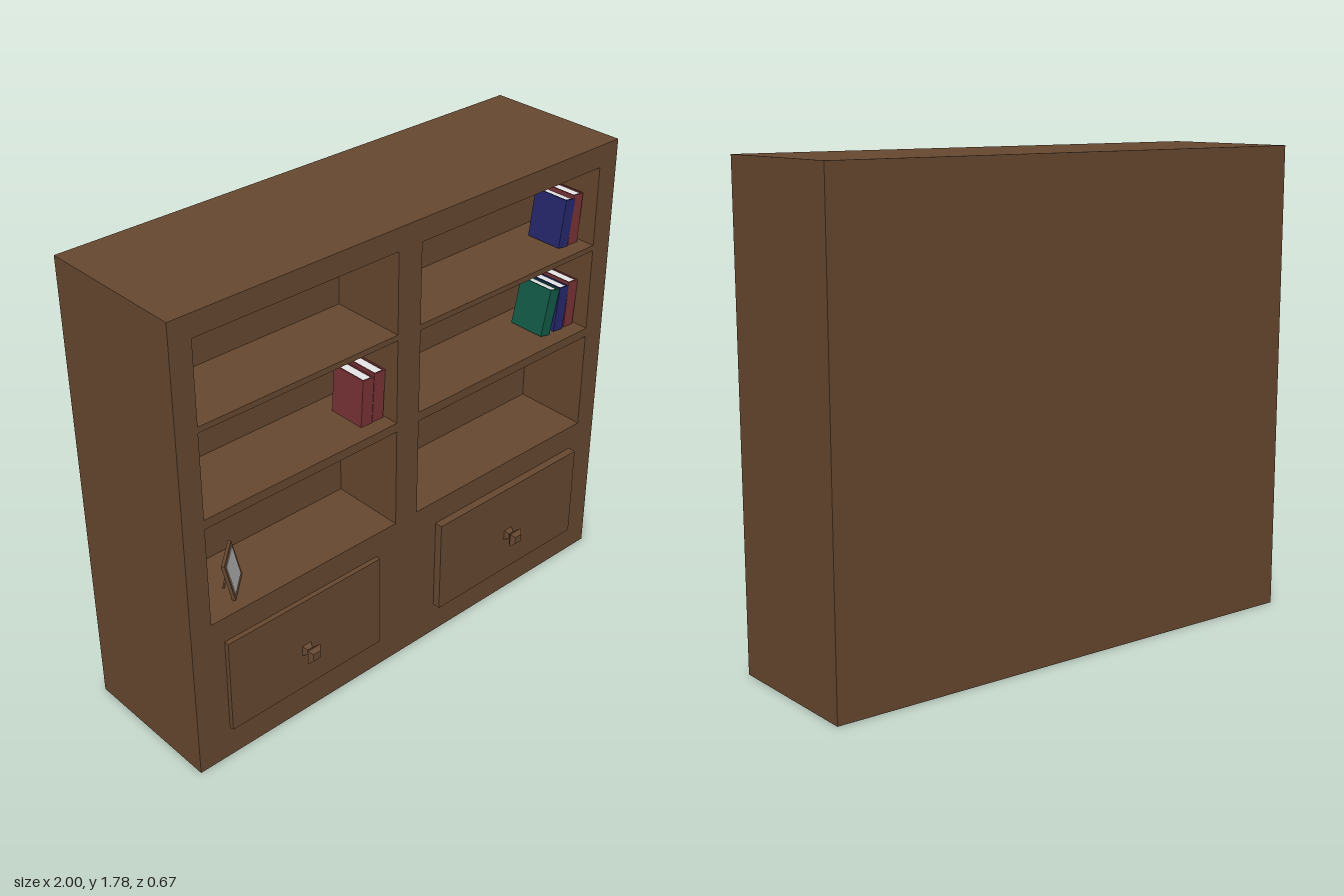
import * as THREE from 'three';

const material = (name, color) => {
  const m = new THREE.MeshStandardMaterial({ color });
  m.name = name;
  return m;
};

export function createModel() {
  const root = new THREE.Group();
  root.name = 'bookcase';
  const wood = material('wood', 0x65472f);
  const red = material('red cover', 0x783236);
  const blue = material('blue cover', 0x25266a);
  const green = material('green cover', 0x115845);
  const paper = material('paper', 0xf0f0f0);
  const photoGrey = material('photo', 0xb8b8b8);

  function add(parent, name, geometry, mat, x = 0, y = 0, z = 0) {
    const mesh = new THREE.Mesh(geometry, mat);
    mesh.name = name;
    mesh.position.set(x, y, z);
    parent.add(mesh);
    return mesh;
  }
  const box = (parent, name, w, h, d, mat, x, y, z) =>
    add(parent, name, new THREE.BoxGeometry(w, h, d), mat, x, y, z);

  // Case: solid rear block plus a front slab pierced by six shelf openings
  const H = 1.785, FRONT = 0.245, RECESS = -0.05, BACK = -0.335;
  box(root, 'rearCase', 2, H, RECESS - BACK, wood, 0, H / 2, (RECESS + BACK) / 2);
  const face = new THREE.Shape([[-1, 0], [1, 0], [1, H], [-1, H]].map(p => new THREE.Vector2(...p)));
  for (const [x0, x1] of [[-0.915, -0.08], [0.025, 0.91]]) {
    for (const [y0, y1] of [[0.615, 1.007], [1.043, 1.37], [1.392, 1.70]]) {
      face.holes.push(new THREE.Path([[x0, y0], [x0, y1], [x1, y1], [x1, y0]].map(p => new THREE.Vector2(...p))));
    }
  }
  add(root, 'shelfCase', new THREE.ExtrudeGeometry(face, { depth: FRONT - RECESS, bevelEnabled: false }),
    wood, 0, 0, RECESS);

  // Four-sided knob profile with a narrow neck, revolved and faceted
  const profile = [[0.029, 0], [0.016, 0.018], [0.042, 0.04], [0.022, 0.055], [0, 0.055]]
    .map(p => new THREE.Vector2(...p));
  const knobGeometry = new THREE.LatheGeometry(profile, 4)
    .rotateY(Math.PI / 4).rotateX(Math.PI / 2).toNonIndexed();
  knobGeometry.computeVertexNormals();

  // Drawers with knobs
  function drawer(name, x0, x1, front, knobX) {
    const g = new THREE.Group();
    g.name = name;
    box(g, 'drawerFront', x1 - x0, 0.385, front - FRONT + 0.02, wood,
      (x0 + x1) / 2, 0.3225, (front + FRONT - 0.02) / 2);
    add(g, 'knob', knobGeometry, wood, knobX, 0.3, front);
    root.add(g);
  }
  drawer('leftmostDrawer', -0.865, -0.173, 0.264, -0.525);
  drawer('rightmostDrawer', 0.125, 0.867, 0.276, 0.495);

  // Book: two boards, a spine and a page block, leaning about its lower right edge
  function book(x, y, height, lean, cover) {
    const w = 0.05, d = 0.15, t = 0.006;
    const g = new THREE.Group();
    g.name = 'book';
    for (const bx of [-t / 2, -w + t / 2]) box(g, 'board', t, height, d, cover, bx, height / 2, -d / 2);
    box(g, 'spine', w - 2 * t, height, t, cover, -w / 2, height / 2, -t / 2);
    box(g, 'pages', w - 2 * t, height - 0.008, d - t - 0.004, paper, -w / 2, height / 2, -(d + t - 0.004) / 2);
    g.position.set(x, y, 0.185);
    g.rotation.z = -THREE.MathUtils.degToRad(lean);
    root.add(g);
  }
  book(0.835, 1.392, 0.185, 8, blue);
  book(0.888, 1.392, 0.194, 4, red);
  book(0.768, 1.043, 0.185, 13, green);
  book(0.84, 1.043, 0.178, 7, blue);
  book(0.898, 1.043, 0.186, 4, red);
  book(-0.142, 1.043, 0.182, 3, red);
  book(-0.09, 1.043, 0.19, 3, red);

  // Picture frame leaning back, with a thin photo plate
  const frame = new THREE.Group();
  frame.name = 'pictureFrame';
  box(frame, 'frameBoard', 0.147, 0.144, 0.012, wood, 0, 0.072, -0.006);
  box(frame, 'photo', 0.118, 0.116, 0.002, photoGrey, 0, 0.072, 0.001);
  const leg = box(frame, 'frameLeg', 0.02, 0.11, 0.006, wood, 0, 0.055, -0.032);
  leg.rotation.x = 0.4;
  frame.rotation.set(-0.225, 0.75, 0, 'YXZ');
  frame.position.set(-0.722, 0.617, 0.15);
  root.add(frame);

  return root;
}
